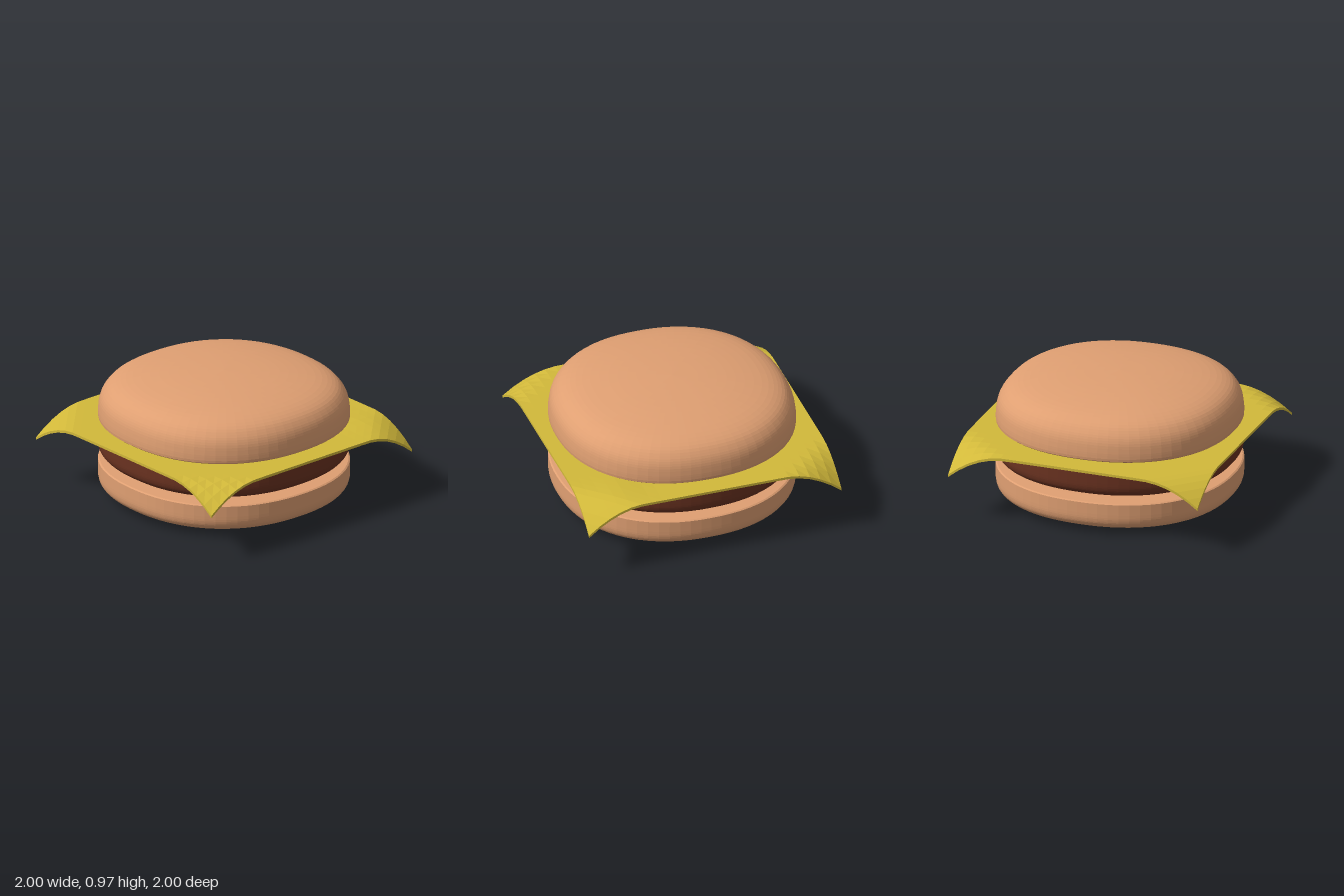
import * as THREE from 'three';

const paint = (color) => new THREE.MeshStandardMaterial({ color, flatShading: true });
const bunMat = paint(0xdf9f72);
const pattyMat = paint(0x6a3220);
const cheeseMat = paint(0xd2b93a);

// Rounded half of a layer: [radius, height], from the wall to the pole
const domeCurve = [
  [0.915, 0.63], [0.912, 0.68], [0.9, 0.75], [0.87, 0.81], [0.81, 0.867],
  [0.69, 0.912], [0.47, 0.948], [0.23, 0.967], [0, 0.974],
];
const slabCurve = [
  [0.915, 0.175], [0.913, 0.13], [0.9, 0.09], [0.865, 0.058],
  [0.79, 0.036], [0.6, 0.02], [0.3, 0.009], [0, 0.004],
];

const v2 = ([r, y]) => new THREE.Vector2(r, y);

// Lathe a profile, then push its circles out to slightly squared ones
function roundLayer(name, material, profile, y = 0) {
  const geo = new THREE.LatheGeometry(profile, 72);
  const p = geo.attributes.position;
  const n = 2.22;
  for (let i = 0; i < p.count; i++) {
    const x = p.getX(i), z = p.getZ(i), r = Math.hypot(x, z);
    if (r < 1e-5) continue;
    const k = 1 / Math.pow(Math.abs(x / r) ** n + Math.abs(z / r) ** n, 1 / n);
    p.setX(i, x * k);
    p.setZ(i, z * k);
  }
  geo.computeVertexNormals();
  const mesh = new THREE.Mesh(geo, material);
  mesh.name = name;
  mesh.position.y = y;
  return mesh;
}

// Thin square slice whose four corners droop
function cheeseSlice() {
  const geo = new THREE.BoxGeometry(2, 0.02, 2, 24, 1, 24);
  const p = geo.attributes.position;
  for (let i = 0; i < p.count; i++) {
    const x = p.getX(i), z = p.getZ(i);
    const s = Math.max(0, Math.abs(x) + Math.abs(z) - 1.55);
    const strength = x > 0 ? 0.95 : 0.86;
    const ripple = 0.014 * Math.exp(-((x - 0.75) ** 2 + (z - 0.68) ** 2) / 0.03);
    p.setY(i, p.getY(i) + 0.547 - strength * s * s + ripple);
  }
  geo.computeVertexNormals();
  const mesh = new THREE.Mesh(geo, cheeseMat);
  mesh.name = 'cheeseSlice';
  return mesh;
}

export function createModel() {
  const group = new THREE.Group();
  group.name = 'burger';

  const dome = new THREE.SplineCurve(domeCurve.map(v2)).getPoints(28);
  const slab = new THREE.SplineCurve(slabCurve.map(v2)).getPoints(24).reverse();
  dome[28].x = 0;
  slab[0].x = 0;

  // Profiles run from the bottom pole to the top pole
  const topProfile = [[0, 0.58], [0.45, 0.584], [0.8, 0.594], [0.9, 0.6], [0.913, 0.61]].map(v2).concat(dome);
  const slabProfile = slab.concat([[0.914, 0.258], [0.903, 0.265], [0.8, 0.269], [0.45, 0.273], [0, 0.275]].map(v2));
  const pattyProfile = slabProfile.map((q) => new THREE.Vector2(q.x, q.y * 0.93));

  group.add(
    roundLayer('bottomBun', bunMat, slabProfile),
    roundLayer('patty', pattyMat, pattyProfile, 0.264),
    cheeseSlice(),
    roundLayer('topBun', bunMat, topProfile),
  );
  return group;
}
